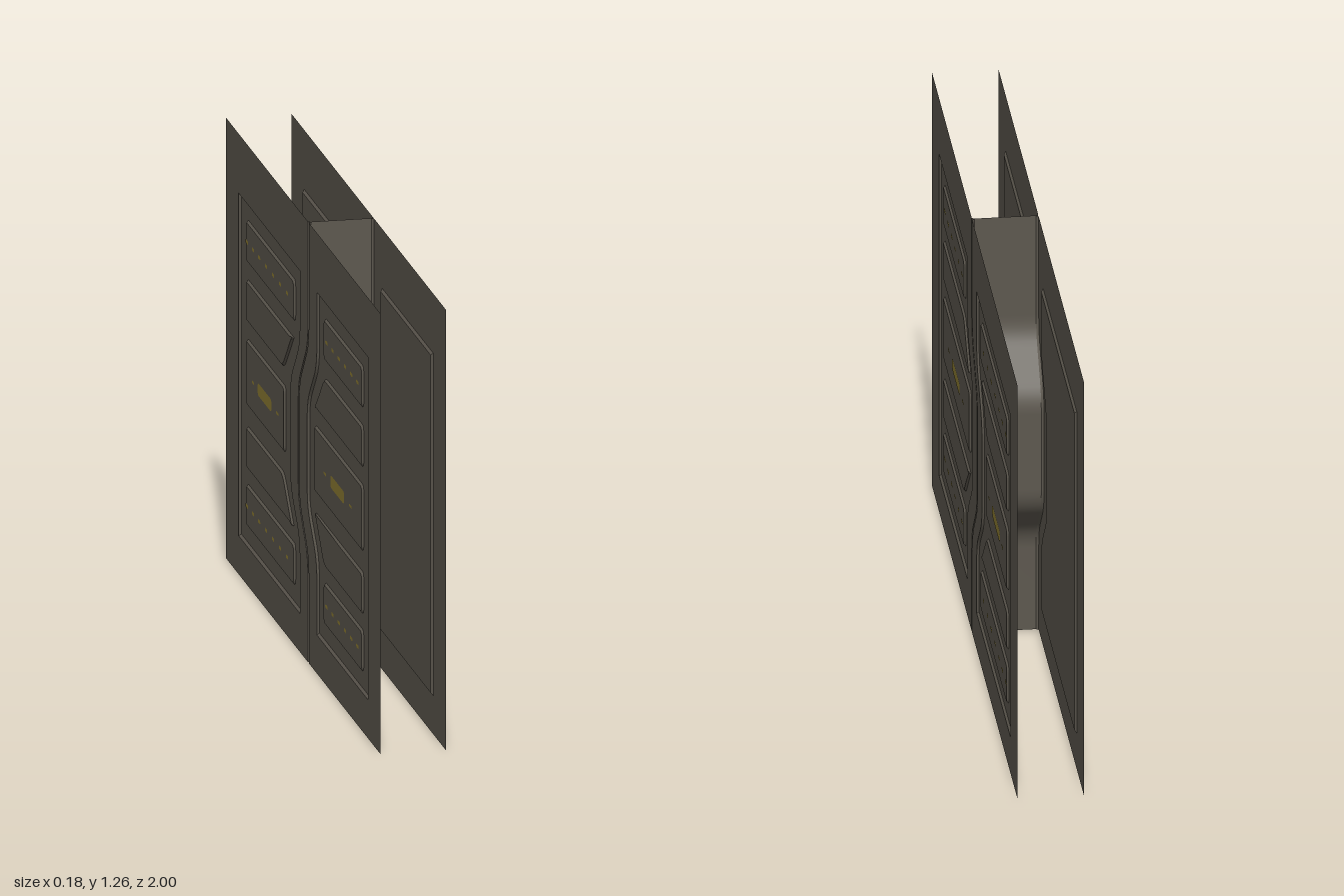
import * as THREE from 'three';

const H = 1.26, FACE = 0.092, FLOOR = 0.086, PANEL = 0.0915;
const steel = new THREE.MeshStandardMaterial({ color: 0x5d584f, side: THREE.DoubleSide });
steel.name = 'dull steel';
const gold = new THREE.MeshStandardMaterial({ color: 0x8f7d33, side: THREE.DoubleSide });
gold.name = 'worn yellow';

// Outlines are [z, y, cornerRadius]; corners are replaced with short curves
function rounded(points, closed = true) {
  const out = [], n = points.length;
  points.forEach(([z, y, r = 0], i) => {
    const p = new THREE.Vector2(z, y);
    if (!r || (!closed && (i === 0 || i === n - 1))) return out.push(p);
    const toward = (q) => new THREE.Vector2(q[0], q[1]).sub(p).setLength(r).add(p);
    const a = toward(points[(i + n - 1) % n]), b = toward(points[(i + 1) % n]);
    out.push(...new THREE.QuadraticBezierCurve(a, p, b).getPoints(5));
  });
  return out;
}

// Moves a counter-clockwise loop inwards by d
function inset(loop, d) {
  const n = loop.length;
  return loop.map((p, i) => {
    const a = p.clone().sub(loop[(i + n - 1) % n]).normalize();
    const b = loop[(i + 1) % n].clone().sub(p).normalize();
    const m = new THREE.Vector2(-a.y - b.y, a.x + b.x);
    return p.clone().addScaledVector(m, (2 * d) / m.lengthSq());
  });
}

// Turns a z,y outline into a counter-clockwise loop as seen on that side
function facing(loop, side) {
  const l = loop.map((p) => new THREE.Vector2(-side * p.x, p.y));
  return THREE.ShapeUtils.isClockWise(l) ? l.reverse() : l;
}

function add(group, name, geometry, material = steel) {
  const mesh = new THREE.Mesh(geometry, material);
  mesh.name = name;
  group.add(mesh);
}

// Flat sheet at the given depth, with optional opening
function sheet(loop, depth, side, hole) {
  const shape = new THREE.Shape(loop);
  if (hole) shape.holes.push(new THREE.Path(hole));
  return new THREE.ShapeGeometry(shape).translate(0, 0, depth).rotateY(side * Math.PI / 2);
}

// Sloping wall between two matching loops
function slope(outer, inner, d0, d1, side) {
  const pos = [], n = outer.length;
  for (let i = 0; i < n; i++) {
    const j = (i + 1) % n;
    const a = [outer[i].x, outer[i].y, d0], b = [outer[j].x, outer[j].y, d0];
    const c = [inner[j].x, inner[j].y, d1], d = [inner[i].x, inner[i].y, d1];
    pos.push(...a, ...b, ...c, ...a, ...c, ...d);
  }
  const g = new THREE.BufferGeometry();
  g.setAttribute('position', new THREE.Float32BufferAttribute(pos, 3));
  g.computeVertexNormals();
  return g.rotateY(side * Math.PI / 2);
}

// Smooth strip along the seam between two [x, z offset] edges
function seamStrip(seam, e0, e1, half) {
  const pos = [], idx = [];
  seam.forEach((p, i) => {
    pos.push(e0[0], p.y, p.x + half * e0[1], e1[0], p.y, p.x + half * e1[1]);
    if (i === seam.length - 1) return;
    const a = 2 * i, b = a + 1, c = a + 2, d = a + 3;
    idx.push(...(half > 0 ? [a, b, c, b, d, c] : [a, c, b, b, c, d]));
  });
  const g = new THREE.BufferGeometry();
  g.setAttribute('position', new THREE.Float32BufferAttribute(pos, 3));
  g.setIndex(idx);
  g.computeVertexNormals();
  return g;
}

const box = (z0, z1, y0, y1, r = 0.02) =>
  [[z0, y0, r], [z0, y1, r], [z1, y1, r], [z1, y0, r]];
const flipY = (pts) => pts.map(([z, y, r]) => [z, 1.2 - y, r]);

const SEAM = rounded([[0.065, H], [0.065, 0.91, 0.05], [-0.06, 0.765, 0.05],
  [-0.06, 0.435, 0.05], [0.065, 0.3, 0.05], [0.065, 0]], false);

// Recess edge that follows the seam
const recess = (outer, z0, z1) => [[outer, 0.11], [outer, 1.09], [z0, 1.09], [z0, 0.88, 0.05],
  [z1, 0.745, 0.05], [z1, 0.445, 0.05], [z0, 0.32, 0.05], [z0, 0.11]];

const frontWedge = [[0.755, 0.75, 0.02], [0.755, 0.87, 0.02], [0.26, 0.87, 0.03], [0.14, 0.75, 0.008]];
const rearWedge = [[-0.75, 0.75, 0.02], [-0.75, 0.87, 0.02], [-0.145, 0.87, 0.008], [-0.27, 0.75, 0.03]];

const HALVES = [
  {
    name: 'frontDoor', half: 1, recess: recess(0.835, 0.175, 0.05),
    panels: [box(0.755, 0.255, 0.92, 1.04), frontWedge, box(0.755, 0.13, 0.51, 0.7),
      flipY(frontWedge), box(0.755, 0.255, 0.165, 0.285)],
    badge: 0.44, flecks: [0.7, 0.62, 0.54, 0.46, 0.38, 0.3], dashes: [0.28, 0.61],
  },
  {
    name: 'rearDoor', half: -1, recess: recess(-0.835, -0.045, -0.17),
    panels: [box(-0.75, -0.125, 0.92, 1.04), rearWedge, box(-0.75, -0.25, 0.51, 0.7),
      flipY(rearWedge), box(-0.75, -0.125, 0.165, 0.285)],
    badge: -0.5, flecks: [-0.21, -0.3, -0.39, -0.48, -0.57, -0.65, -0.73], dashes: [-0.335, -0.65],
  },
];

export function createModel() {
  const model = new THREE.Group();
  model.name = 'doubleDoor';

  for (const d of HALVES) {
    const door = new THREE.Group();
    door.name = d.name;
    model.add(door);

    // Bevelled meeting edge joining both skins
    const profile = [[-FACE, 0.006], [-0.085, 0.001], [0.085, 0.001], [FACE, 0.006]];
    for (let i = 0; i < 3; i++) {
      add(door, i === 1 ? 'meetingEdge' : 'edgeBevel', seamStrip(SEAM, profile[i], profile[i + 1], d.half));
    }

    for (const side of [1, -1]) {
      // Outer skin with recessed field
      const edge = SEAM.map((p) => new THREE.Vector2(p.x + d.half * 0.006, p.y));
      const outline = facing([...edge, new THREE.Vector2(d.half, 0), new THREE.Vector2(d.half, H)], side);
      const opening = facing(rounded(d.recess), side);
      const floor = inset(opening, 0.007);
      add(door, 'doorSkin', sheet(outline, FACE, side, opening));
      add(door, 'recessWall', slope(opening, floor, FACE, FLOOR, side));
      add(door, 'recessFloor', sheet(floor, FLOOR, side));

      // Raised panels with sloping sides
      for (const p of d.panels) {
        const base = facing(rounded(p), side);
        const top = inset(base, 0.006);
        add(door, 'panelEdge', slope(base, top, FLOOR, PANEL, side));
        add(door, 'raisedPanel', sheet(top, PANEL, side));
      }

      // Worn yellow markings
      const mark = (name, z, y, w, h) => {
        const pts = rounded(box(z - w / 2, z + w / 2, y - h / 2, y + h / 2, h * 0.45));
        add(door, name, sheet(facing(pts, side), PANEL + 0.0008, side), gold);
      };
      mark('centreMarking', d.badge, 0.6, 0.18, 0.036);
      d.dashes.forEach((z) => mark('markingDash', z, 0.6, 0.03, 0.008));
      for (const y of [0.98, 0.225]) d.flecks.forEach((z) => mark('markingFleck', z, y, 0.03, 0.01));
    }
  }
  return model;
}
